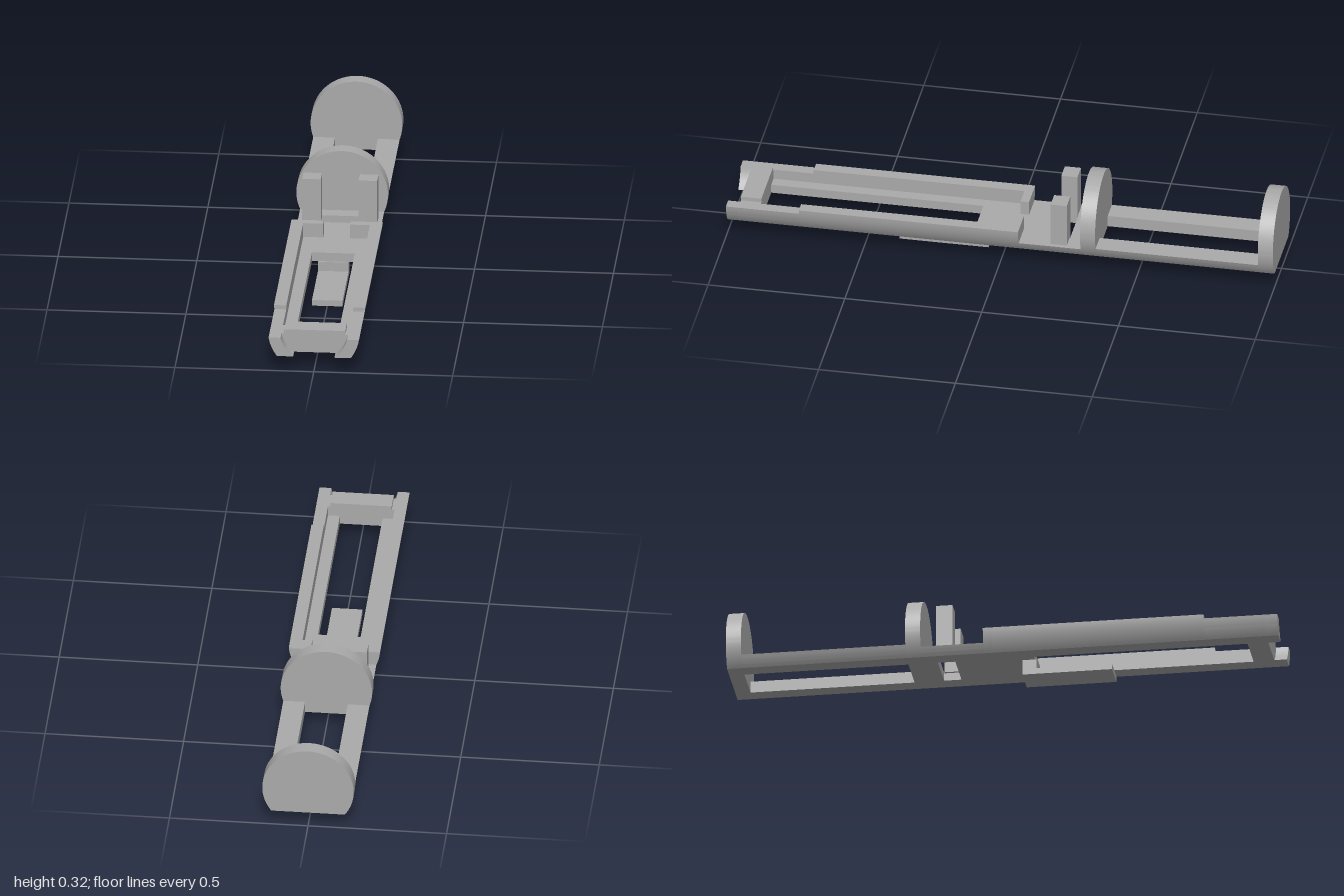
import * as THREE from 'three';
import { toCreasedNormals } from 'three/addons/utils/BufferGeometryUtils.js';

const R = 0.165, CY = 0.155, BASE = 0.057, FLOOR = 0.09;

// Points on the round outer skin, from the flat base up to a height
function skin(yTop, steps = 10) {
  const a0 = Math.asin((BASE - CY) / R), a1 = Math.asin(Math.min(1, (yTop - CY) / R));
  return Array.from({ length: steps + 1 }, (_, i) => {
    const a = a0 + (a1 - a0) * i / steps;
    return [R * Math.cos(a), CY + R * Math.sin(a)];
  });
}

export function createModel() {
  const group = new THREE.Group();
  group.name = 'sledFrame';
  const grey = new THREE.MeshStandardMaterial({ color: 0xaaaaaa });
  grey.name = 'grey';

  function add(name, geometry) {
    const mesh = new THREE.Mesh(geometry, grey);
    mesh.name = name;
    group.add(mesh);
  }

  // Extrude an x-y outline from z0 to z1
  function slab(name, points, z0, z1) {
    const shape = new THREE.Shape(points.map(([x, y]) => new THREE.Vector2(x, y)));
    const geometry = new THREE.ExtrudeGeometry(shape, { depth: z1 - z0, bevelEnabled: false });
    geometry.translate(0, 0, z0);
    add(name, toCreasedNormals(geometry, 0.45));
  }

  // Symmetric section cut off at yTop
  function full(name, yTop, z0, z1, steps) {
    const right = skin(yTop, steps);
    const left = right.map(([x, y]) => [-x, y]).reverse();
    if (yTop >= CY + R) left.shift();
    slab(name, [...right, ...left], z0, z1);
  }

  // Mirrored pair: round outside, given inner points from top to bottom
  function pair(name, yTop, inner, z0, z1) {
    for (const s of [1, -1]) {
      const points = [...skin(yTop), ...inner].map(([x, y]) => [s * x, y]);
      slab((s > 0 ? 'left' : 'right') + name, points, z0, z1);
    }
  }

  function box(name, x0, x1, y0, y1, z0, z1) {
    const geometry = new THREE.BoxGeometry(x1 - x0, y1 - y0, z1 - z0);
    geometry.translate((x0 + x1) / 2, (y0 + y1) / 2, (z0 + z1) / 2);
    add(name, geometry);
  }

  const straight = (x, yTop) => [[x, yTop], [x, BASE]];
  const ledge = (yTop) => [[0.12, yTop], [0.12, FLOOR], [0.077, FLOOR], [0.077, BASE]];

  // Round end plates and the rails between them
  full('backDisc', CY + R, -1, -0.945, 40);
  full('middleDisc', CY + R, -0.35, -0.295, 40);
  pair('BackRail', 0.1, straight(0.077, 0.1), -0.945, -0.35);

  // Floor with a slot between the two posts
  full('floorBehindSlot', FLOOR, -0.295, -0.243);
  pair('SlotSide', FLOOR, straight(0.077, FLOOR), -0.243, -0.18);
  full('floorBeforeSlot', FLOOR, -0.18, -0.068);
  for (const s of [-1, 1]) {
    const xs = [s * 0.068, s * 0.135].sort((a, b) => a - b);
    box(s > 0 ? 'leftPost' : 'rightPost', xs[0], xs[1], FLOOR - 0.004, 0.255, -0.241, -0.182);
  }

  // Tray: back corners, side walls with an inner ledge, lower front walls
  const wall = 0.143, low = 0.128;
  pair('TrayBackWall', wall, [[0.048, wall], [0.048, FLOOR], [0.048, BASE]], -0.068, -0.037);
  pair('TrayWall', wall, ledge(wall), -0.037, 0.733);
  pair('TrayFrontWall', low, ledge(low), 0.733, 0.955);
  box('trayFloorGap', -0.048, 0.048, BASE, FLOOR, -0.068, -0.037);
  box('trayFloor', -0.077, 0.077, BASE, FLOOR, -0.037, 0.105);

  // Cross bar near the front, with its raised lip
  box('crossBar', -0.077, 0.077, BASE, low, 0.88, 0.955);
  for (const s of [-1, 1]) {
    const xs = [s * 0.077, s * 0.12].sort((a, b) => a - b);
    box('crossBarEnd', xs[0], xs[1], FLOOR, low, 0.88, 0.955);
  }
  box('crossBarLip', -0.11, 0.11, low, wall, 0.88, 0.955);

  // Front tips, hollowed by a smaller circle
  const r = 0.123, b0 = Math.asin((low - CY) / r), b1 = Math.asin((BASE - CY) / r);
  const hollow = Array.from({ length: 9 }, (_, i) => {
    const a = b0 + (b1 - b0) * i / 8;
    return [r * Math.cos(a), CY + r * Math.sin(a)];
  });
  pair('FrontTip', low, hollow, 0.955, 1);

  // Clip below the floor
  box('clipStem', -0.055, 0.055, 0.022, BASE, 0.06, 0.112);
  box('clipTongue', -0.055, 0.055, 0, 0.022, 0.06, 0.385);

  return group;
}
